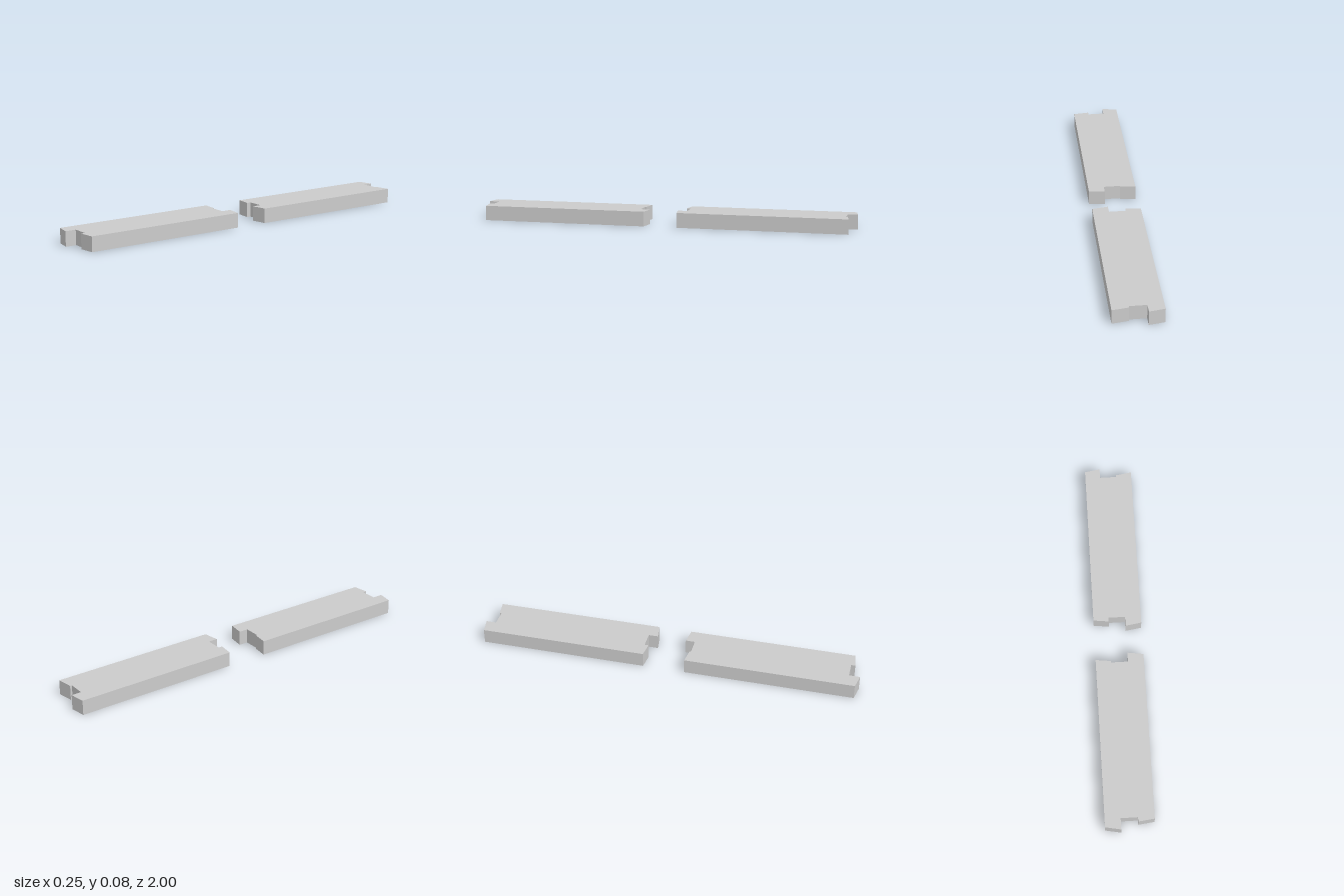
import * as THREE from 'three';
import { mergeGeometries } from 'three/addons/utils/BufferGeometryUtils.js';

const HEIGHT = 0.077;
// x stations of a plank end: left tab, notch, right tab
const X = [-0.125, -0.045, -0.045, 0.042, 0.042, 0.125];

// Hollow plank: flat top, upright walls round the outline, open underneath
function plankGeometry(backZ, frontZ) {
  // counter-clockwise seen from above, as (x, -z)
  const outline = [
    ...X.map((x, i) => new THREE.Vector2(x, -frontZ[i])),
    ...X.map((x, i) => new THREE.Vector2(x, -backZ[i])).reverse(),
  ];
  const top = new THREE.ShapeGeometry(new THREE.Shape(outline));
  top.rotateX(-Math.PI / 2).translate(0, HEIGHT, 0);

  const walls = outline.map((a, i) => {
    const b = outline[(i + 1) % outline.length];
    const d = b.clone().sub(a);
    const wall = new THREE.PlaneGeometry(d.length(), HEIGHT);
    wall.rotateY(Math.atan2(d.y, d.x));
    wall.translate((a.x + b.x) / 2, HEIGHT / 2, -(a.y + b.y) / 2);
    return wall;
  });
  return mergeGeometries([top, ...walls]);
}

export function createModel() {
  const group = new THREE.Group();
  group.name = 'plankPair';
  const material = new THREE.MeshStandardMaterial({
    color: 0xcccccc, flatShading: true, side: THREE.DoubleSide,
  });

  // z of each end at the six x stations
  const planks = {
    backPlank: [
      [-0.987, -1, -0.948, -0.948, -0.958, -0.971],
      [-0.116, -0.106, -0.127, -0.127, -0.077, -0.09],
    ],
    frontPlank: [
      [0.104, 0.114, 0.122, 0.122, 0.073, 0.085],
      [0.984, 1, 0.943, 0.943, 0.965, 0.955],
    ],
  };
  for (const [name, [backZ, frontZ]] of Object.entries(planks)) {
    const mesh = new THREE.Mesh(plankGeometry(backZ, frontZ), material);
    mesh.name = name;
    group.add(mesh);
  }
  return group;
}
